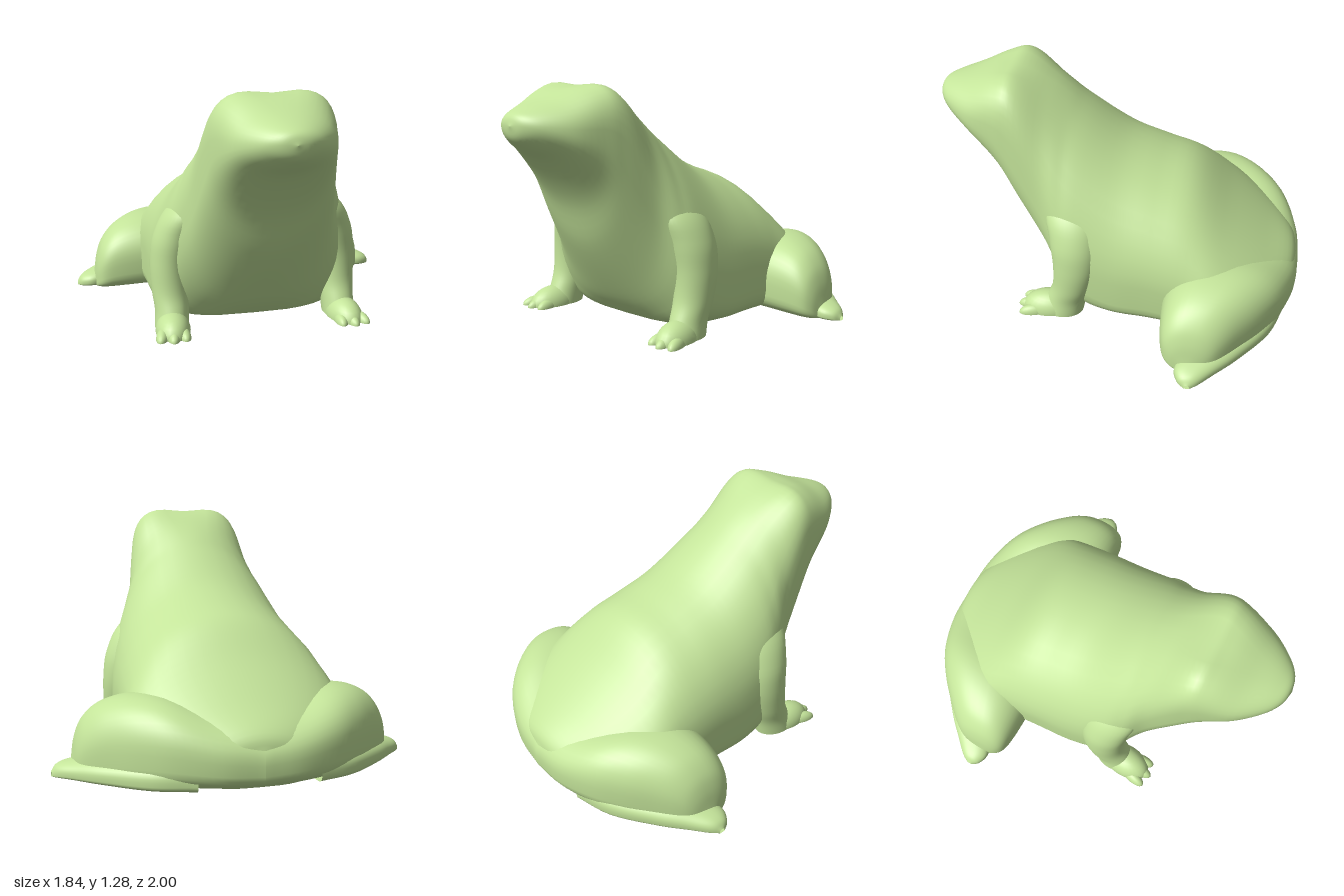
import * as THREE from 'three';

const material = new THREE.MeshStandardMaterial({ color: 0xc4e49a, side: THREE.DoubleSide });
const SIDES = 40;

// Smoothly interpolated stations, each turned into a closed ring of points
function loft(stations, steps, ringPoint) {
  const size = stations[0].length, count = (stations.length - 1) * steps;
  const curve = new THREE.CubicInterpolant(stations.map((_, i) => i), stations.flat(), size);
  const positions = [], index = [];
  for (let i = 0; i <= count; i++) {
    const s = Array.from(curve.evaluate(i / steps));
    for (let j = 0; j < SIDES; j++) {
      positions.push(...ringPoint(s, (j / SIDES) * Math.PI * 2));
      if (i === count) continue;
      const a = i * SIDES + j, b = i * SIDES + (j + 1) % SIDES;
      index.push(a, b, b + SIDES, a, b + SIDES, a + SIDES);
    }
  }
  const geometry = new THREE.BufferGeometry();
  geometry.setAttribute('position', new THREE.Float32BufferAttribute(positions, 3));
  geometry.setIndex(index);
  geometry.computeVertexNormals();
  return geometry;
}

// Rounded-square cosine and sine: n = 2 is round, larger is boxier
const power = (v, n) => Math.sign(v) * Math.pow(Math.abs(v), 2 / n);

// Half ellipsoid resting on the ground, long axis turned about y
function dome(x, z, rx, ry, rz, turn) {
  return new THREE.SphereGeometry(1, 24, 8, 0, Math.PI * 2, 0, Math.PI / 2)
    .scale(rx, ry, rz).rotateY(turn).translate(x, 0.012, z);
}

function mirrored(geometry) {
  const copy = geometry.clone().scale(-1, 1, 1);
  const id = copy.index.array;
  for (let i = 0; i < id.length; i += 3) [id[i], id[i + 1]] = [id[i + 1], id[i]];
  return copy;
}

// Body and head: z, bottom, widest height, top, half width, upper and lower squareness
function bodyGeometry() {
  const stations = [
    [-0.985, 0.12, 0.17, 0.2, 0.02, 2, 2],
    [-0.95, 0.03, 0.15, 0.285, 0.24, 2, 3],
    [-0.8, 0.012, 0.18, 0.4, 0.45, 2, 5],
    [-0.6, 0.012, 0.21, 0.56, 0.57, 2, 6],
    [-0.4, 0.012, 0.26, 0.735, 0.56, 2, 6],
    [-0.2, 0.012, 0.3, 0.81, 0.55, 2, 6],
    [0.0, 0.012, 0.3, 0.9, 0.54, 2, 6],
    [0.2, 0.012, 0.36, 1.05, 0.51, 2, 4],
    [0.3, 0.08, 0.44, 1.13, 0.46, 2.1, 2.6],
    [0.4, 0.21, 0.6, 1.2, 0.385, 2.6, 2.2],
    [0.55, 0.46, 0.84, 1.29, 0.335, 3.7, 2],
    [0.65, 0.7, 0.98, 1.28, 0.305, 3.3, 2.2],
    [0.8, 0.9, 1.05, 1.22, 0.25, 2.4, 2.2],
    [0.92, 0.985, 1.085, 1.18, 0.16, 2.1, 2],
    [0.98, 1.035, 1.1, 1.15, 0.08, 2, 2],
    [1.0, 1.1, 1.1, 1.1, 0, 2, 2],
  ];
  return loft(stations, 5, ([z, bottom, mid, top, w, up, low], a) => {
    const n = a < Math.PI ? up : low;
    const h = a < Math.PI ? top - mid : mid - bottom;
    const x = w * power(Math.cos(a), n), y = mid + h * power(Math.sin(a), n);
    // Shallow dip between the brows
    const dip = y > 1.15 ? 0.02 * Math.exp(-((x / 0.12) ** 2) - ((z - 0.57) / 0.1) ** 2) : 0;
    return [x, y - dip, z];
  });
}

// Hind limb part lofted sideways: x, back z, front z, top
function hindLimb(stations) {
  return loft(stations, 5, ([x, back, front, top], a) => {
    const mid = top * 0.45, n = Math.cos(a) > 0 ? 2.3 : 4;
    const h = Math.cos(a) > 0 ? top - mid : mid - 0.012;
    return [x, mid + h * power(Math.cos(a), n),
      (back + front) / 2 + (front - back) / 2 * power(Math.sin(a), n)];
  });
}

const thigh = [
  [0, -1.0, -0.4, 0.31],
  [0.2, -0.985, -0.32, 0.35],
  [0.4, -0.92, -0.29, 0.41],
  [0.55, -0.825, -0.29, 0.41],
  [0.68, -0.71, -0.3, 0.365],
  [0.76, -0.63, -0.32, 0.29],
  [0.8, -0.57, -0.36, 0.2],
  [0.82, -0.5, -0.42, 0.09],
];

// Long foot tucked along the outer edge of the folded leg
const hindFoot = [
  [0.3, -0.94, -0.7, 0.16],
  [0.5, -0.87, -0.6, 0.14],
  [0.7, -0.72, -0.45, 0.12],
  [0.82, -0.605, -0.4, 0.095],
  [0.89, -0.535, -0.42, 0.07],
  [0.92, -0.49, -0.46, 0.035],
];

// Front leg and shoulder: y, centre x, centre z, half width, half depth
function frontLegGeometry() {
  const stations = [
    [0.012, 0.465, 0.28, 0.09, 0.12],
    [0.1, 0.46, 0.25, 0.09, 0.11],
    [0.2, 0.46, 0.215, 0.1, 0.11],
    [0.35, 0.455, 0.195, 0.108, 0.125],
    [0.5, 0.42, 0.2, 0.12, 0.14],
    [0.65, 0.35, 0.22, 0.105, 0.14],
    [0.8, 0.25, 0.24, 0, 0],
  ];
  return loft(stations, 5, ([y, x, z, rx, rz], a) =>
    [x + rx * Math.sin(a), y, z + rz * Math.cos(a)]);
}

export function createModel() {
  const model = new THREE.Group();
  model.name = 'frog';
  const add = (name, geometry) => {
    const mesh = new THREE.Mesh(geometry, material);
    mesh.name = name;
    model.add(mesh);
  };
  const addPair = (name, geometry) => {
    add('left' + name, geometry);
    add('right' + name, mirrored(geometry));
  };

  add('body', bodyGeometry());
  addPair('HindLeg', hindLimb(thigh));
  addPair('HindFoot', hindLimb(hindFoot));
  addPair('FrontLeg', frontLegGeometry());
  addPair('FrontFoot', dome(0.47, 0.35, 0.092, 0.1, 0.15, 0.1));

  // Toes fan out from the front of each front foot
  [-1, 0, 1].forEach((k) => addPair('FrontToe' + (k + 2),
    dome(0.48 + k * 0.052, 0.44 - Math.abs(k) * 0.015, 0.036, 0.045, 0.085, 0.1 + k * 0.2)));
  return model;
}
